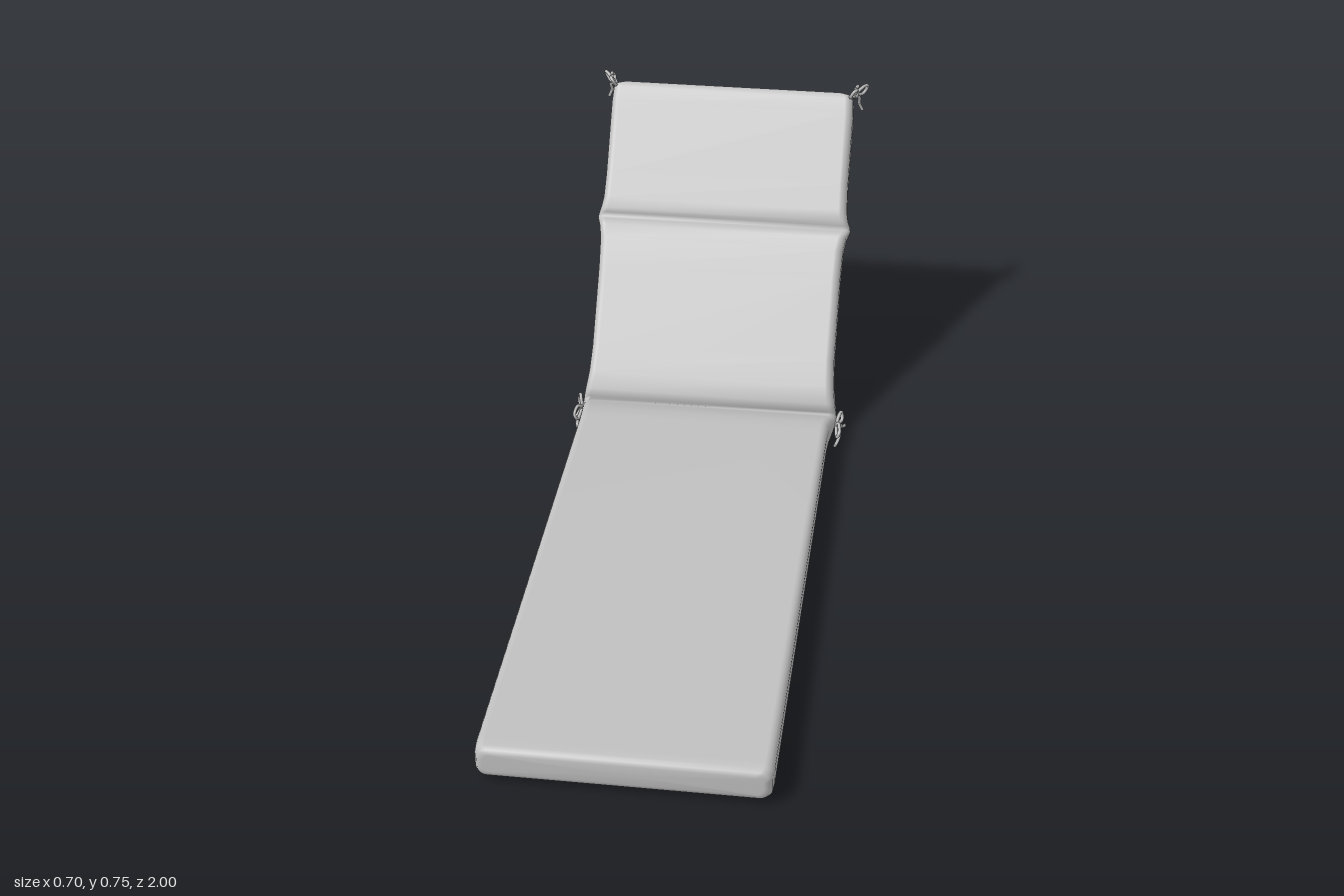
import * as THREE from 'three';

const fabric = new THREE.MeshStandardMaterial({ color: 0xc0c0c0, side: THREE.DoubleSide });
fabric.name = 'grey fabric';

// Rounded rectangle, counter-clockwise: half width w, half thickness t
function section(w, t) {
  const r = Math.min(0.02, t * 0.9), steps = 5, pts = [];
  const corners = [[1, -1, -90], [1, 1, 0], [-1, 1, 90], [-1, -1, 180]];
  for (const [sx, sy, start] of corners) {
    for (let k = 0; k <= steps; k++) {
      const a = THREE.MathUtils.degToRad(start + (90 * k) / steps);
      pts.push([sx * (w - r) + r * Math.cos(a), sy * (t - r) + r * Math.sin(a)]);
    }
  }
  return pts;
}

// Loft through stations [upper z, upper y, lower z, lower y, half width]
function loftPad(stations) {
  const pos = [], idx = [];
  let n = 0;
  for (const [tz, ty, bz, by, w] of stations) {
    const dz = tz - bz, dy = ty - by, len = Math.hypot(dz, dy);
    const ring = section(w, len / 2);
    n = ring.length;
    for (const [x, v] of ring) {
      pos.push(x, (ty + by) / 2 + (v * dy) / len, (tz + bz) / 2 + (v * dz) / len);
    }
  }
  const last = (stations.length - 1) * n;
  for (let i = 0; i < last; i += n) {
    for (let j = 0; j < n; j++) {
      const k = (j + 1) % n;
      idx.push(i + j, i + n + j, i + k, i + k, i + n + j, i + n + k);
    }
  }
  // end caps
  for (const [tz, ty, bz, by] of [stations[0], stations[stations.length - 1]]) {
    pos.push(0, (ty + by) / 2, (tz + bz) / 2);
  }
  const c = stations.length * n;
  for (let j = 0; j < n; j++) {
    const k = (j + 1) % n;
    idx.push(c, j, k, c + 1, last + k, last + j);
  }
  const g = new THREE.BufferGeometry();
  g.setAttribute('position', new THREE.Float32BufferAttribute(pos, 3));
  g.setIndex(idx);
  g.computeVertexNormals();
  return g;
}

// One tie: a knot plus loops and tails, points given for the +x side
function makeTie(name, side, knot, strands) {
  const tie = new THREE.Group();
  tie.name = name;
  const ball = new THREE.Mesh(new THREE.SphereGeometry(0.009, 10, 8), fabric);
  ball.name = name + 'Knot';
  ball.position.set(knot[0] * side, knot[1], knot[2]);
  tie.add(ball);
  for (const strand of strands) {
    const path = new THREE.CatmullRomCurve3(
      strand.map(([x, y, z]) => new THREE.Vector3(x * side, y, z)));
    const mesh = new THREE.Mesh(new THREE.TubeGeometry(path, 20, 0.0045, 6), fabric);
    mesh.name = name + 'Strand';
    tie.add(mesh);
  }
  return tie;
}

export function createModel() {
  const model = new THREE.Group();
  model.name = 'loungerCushion';

  const cushion = new THREE.Mesh(loftPad([
    // seat, from its front end
    [1.0, 0.076, 1.0, 0.03, 0.292],
    [0.996, 0.086, 0.996, 0.02, 0.303],
    [0.985, 0.091, 0.985, 0.016, 0.309],
    [0.96, 0.092, 0.96, 0.015, 0.311],
    [0.3, 0.092, 0.3, 0.015, 0.311],
    [-0.31, 0.092, -0.31, 0.015, 0.311],
    [-0.36, 0.088, -0.36, 0.013, 0.313],
    [-0.40, 0.076, -0.405, 0.012, 0.318],
    [-0.43, 0.063, -0.445, 0.016, 0.323],
    // fold
    [-0.443, 0.060, -0.475, 0.026, 0.324],
    [-0.436, 0.072, -0.495, 0.037, 0.322],
    // lower back
    [-0.438, 0.094, -0.512, 0.053, 0.318],
    [-0.462, 0.132, -0.535, 0.086, 0.312],
    [-0.50, 0.185, -0.569, 0.138, 0.309],
    [-0.62, 0.35, -0.685, 0.305, 0.309],
    [-0.665, 0.412, -0.728, 0.366, 0.311],
    [-0.688, 0.438, -0.748, 0.396, 0.317],
    [-0.706, 0.443, -0.756, 0.407, 0.323],
    // crease
    [-0.722, 0.441, -0.753, 0.418, 0.325],
    [-0.723, 0.452, -0.762, 0.424, 0.323],
    // upper back
    [-0.722, 0.466, -0.778, 0.431, 0.318],
    [-0.738, 0.49, -0.795, 0.449, 0.313],
    [-0.775, 0.543, -0.831, 0.494, 0.311],
    [-0.88, 0.694, -0.945, 0.637, 0.311],
    [-0.903, 0.724, -0.969, 0.666, 0.309],
    [-0.914, 0.731, -0.975, 0.678, 0.303],
    [-0.923, 0.730, -0.974, 0.687, 0.292],
  ]), fabric);
  cushion.name = 'cushion';
  model.add(cushion);

  for (const side of [1, -1]) {
    const label = side > 0 ? 'left' : 'right';
    // ties at the head end
    model.add(makeTie(label + 'HeadTie', side, [0.312, 0.716, -0.945], [
      [[0.31, 0.716, -0.945], [0.318, 0.738, -0.925], [0.311, 0.743, -0.9],
        [0.303, 0.727, -0.905], [0.31, 0.714, -0.94]],
      [[0.31, 0.716, -0.945], [0.332, 0.732, -0.965], [0.341, 0.722, -0.99],
        [0.33, 0.703, -0.988], [0.312, 0.714, -0.95]],
      [[0.31, 0.716, -0.945], [0.322, 0.705, -0.955], [0.322, 0.685, -0.965], [0.33, 0.664, -0.972]],
      [[0.31, 0.716, -0.945], [0.315, 0.73, -0.96], [0.318, 0.741, -0.945], [0.314, 0.744, -0.92]],
    ]));
    // ties at the fold
    model.add(makeTie(label + 'FoldTie', side, [0.326, 0.036, -0.435], [
      [[0.325, 0.036, -0.435], [0.333, 0.052, -0.415], [0.337, 0.044, -0.385],
        [0.331, 0.029, -0.39], [0.325, 0.034, -0.43]],
      [[0.325, 0.036, -0.435], [0.331, 0.058, -0.45], [0.336, 0.052, -0.472],
        [0.338, 0.034, -0.468], [0.325, 0.034, -0.44]],
      [[0.325, 0.036, -0.435], [0.335, 0.024, -0.42], [0.333, 0.014, -0.4], [0.327, 0.008, -0.38]],
      [[0.325, 0.036, -0.435], [0.336, 0.026, -0.45], [0.338, 0.012, -0.468], [0.344, 0.006, -0.485]],
    ]));
  }
  return model;
}
